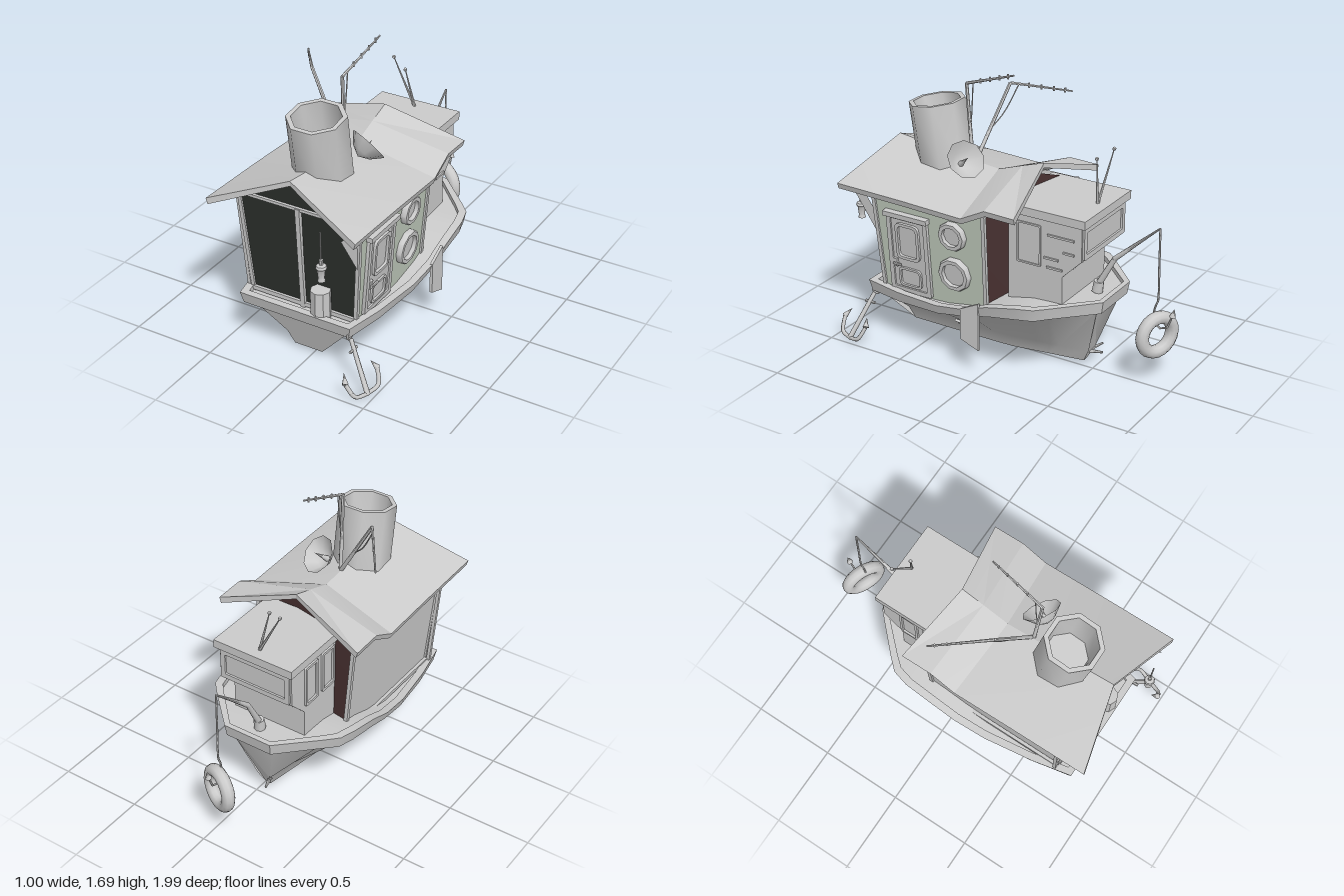
import * as THREE from 'three';
import { toCreasedNormals } from 'three/addons/utils/BufferGeometryUtils.js';

const mat = (color) => new THREE.MeshStandardMaterial({ color, side: THREE.DoubleSide });
const GREY = mat(0xcccccc), GREEN = mat(0xc1ccbd), DARK = mat(0x2c302c), RED = mat(0x4a3232);
const V = (p) => new THREE.Vector3(...p);
const profile = (pts) => pts.map((p) => new THREE.Vector2(...p));

function add(parent, name, geo, material = GREY, crease = 0.7) {
  const m = new THREE.Mesh(toCreasedNormals(geo, crease), material);
  m.name = name;
  parent.add(m);
  return m;
}

// Skin over a list of cross-sections with equal point counts
function loft(rings, { closed = true, caps = true, loop = false } = {}) {
  const n = rings[0].length, idx = [];
  const last = loop ? rings.length : rings.length - 1;
  for (let i = 0; i < last; i++) {
    for (let j = 0; j < (closed ? n : n - 1); j++) {
      const a = i * n + j, b = i * n + (j + 1) % n;
      const r = ((i + 1) % rings.length) * n, c = r + j, d = r + (j + 1) % n;
      idx.push(a, b, c, b, d, c);
    }
  }
  if (caps) for (const s of [0, (rings.length - 1) * n])
    for (let j = 1; j < n - 1; j++) idx.push(s, s + j, s + j + 1);
  return mesh(rings.flat(), idx);
}

function mesh(pts, idx) {
  const g = new THREE.BufferGeometry();
  g.setAttribute('position', new THREE.Float32BufferAttribute(pts.flat(), 3));
  g.setIndex(idx);
  g.computeVertexNormals();
  return g;
}

const poly = (pts) => mesh(pts, pts.slice(2).flatMap((_, i) => [0, i + 1, i + 2]));

// Straight bar between two points
function rod(parent, name, a, b, r = 0.008, r2 = r, sides = 6) {
  const A = V(a), d = V(b).sub(A);
  const m = add(parent, name, new THREE.CylinderGeometry(r2, r, d.length(), sides, 1, false, Math.PI / 4),
    GREY, sides > 4 ? 1.1 : 0.5);
  m.position.copy(A).addScaledVector(d, 0.5);
  m.quaternion.setFromUnitVectors(new THREE.Vector3(0, 1, 0), d.normalize());
}

const tube = (parent, name, pts, r, sides = 6) =>
  add(parent, name, new THREE.TubeGeometry(new THREE.CatmullRomCurve3(pts.map(V)), 16, r, sides), GREY, 1.2);

const box = (parent, name, size, pos) =>
  add(parent, name, new THREE.BoxGeometry(...size)).position.set(...pos);

// Rectangular frame with a hole, facing +z
function frameGeo(w, h, t, depth, r = 0.01) {
  const path = (P, w, h, r) => {
    const x = w / 2, y = h / 2;
    return P.moveTo(-x + r, -y).lineTo(x - r, -y).quadraticCurveTo(x, -y, x, -y + r).lineTo(x, y - r)
      .quadraticCurveTo(x, y, x - r, y).lineTo(-x + r, y).quadraticCurveTo(-x, y, -x, y - r)
      .lineTo(-x, -y + r).quadraticCurveTo(-x, -y, -x + r, -y);
  };
  const s = path(new THREE.Shape(), w, h, r);
  s.holes.push(path(new THREE.Path(), w - 2 * t, h - 2 * t, r * 0.7));
  return new THREE.ExtrudeGeometry(s, { depth, bevelEnabled: false, curveSegments: 3 });
}
function sideFrame(parent, name, z, y, w, h, t, x = 0, depth = 0.015, r = 0.01) {
  const m = add(parent, name, frameGeo(w, h, t, depth, r));
  m.rotation.y = Math.PI / 2;
  m.position.set(x, y, z);
}

function buildHull(g) {
  // z, half width, rim top, rim bottom
  const st = [[0.84, 0.355, 0.36, 0.29], [0.6, 0.405, 0.36, 0.295], [0.3, 0.45, 0.375, 0.32], [0.1, 0.465, 0.41, 0.36],
    [-0.05, 0.468, 0.465, 0.4], [-0.24, 0.463, 0.505, 0.43], [-0.34, 0.437, 0.51, 0.435],
    [-0.41, 0.373, 0.512, 0.44], [-0.624, 0.155, 0.515, 0.44]];
  const low = (z) => z * 0.925;
  add(g, 'hull', loft(st.map(([z, w, , y]) => {
    const W = w * 0.9, k = Math.min(1, (z + 0.624) / 0.6), zb = -0.43 + (z + 0.624) * 0.772;
    const b = 0.015 + 0.075 * k, m = 0.04 + 0.085 * k, zm = zb + (low(z) - zb) * 0.3;
    return [[W, y, low(z)], [m, 0.115, zm], [b, 0.03, zb], [-b, 0.03, zb], [-m, 0.115, zm], [-W, y, low(z)]];
  }), { closed: false }), GREY, 0.75);
  const section = ([z, w, t, b], s) => [[s * w, t, z], [s * w * 0.965, b, z * 0.98],
    [s * w * 0.885, b, z * 0.92], [s * w * 0.9, t - 0.035, z * 0.95], [s * w * 0.9, t, z * 0.95]];
  add(g, 'gunwale', loft([...st.map((p) => section(p, 1)), ...[...st].reverse().map((p) => section(p, -1))],
    { caps: false, loop: true }), GREY, 0.5);
  add(g, 'deck', loft(st.map(([z, w, t]) => [[w * 0.9, t - 0.03, z * 0.95], [-w * 0.9, t - 0.03, z * 0.95]]),
    { closed: false, caps: false }));
}

function buildCabin(g) {
  // the back wall is skewed: it reaches further forward on the right
  const f = [[-0.33, 0.33, 0.73], [0.33, 0.33, 0.73], [0.38, 0.97, 0.765], [0, 1.13, 0.765], [-0.38, 0.97, 0.765]];
  const b = [[-0.33, 0.33, -0.14], [0.33, 0.33, 0.03], [0.38, 0.97, 0.015], [0, 1.115, -0.06], [-0.38, 0.97, -0.14]];
  add(g, 'cabinFront', poly(f), DARK);
  add(g, 'cabinBack', poly(b), RED);
  add(g, 'cabinLeftWall', poly([f[1], b[1], b[2], f[2]]), GREEN);
  add(g, 'cabinRightWall', poly([f[0], b[0], b[4], f[4]]));
  // corner posts, sills and centre post
  for (const [lo, hi, p] of [[1, 2, f], [0, 4, f], [1, 2, b], [0, 4, b]])
    rod(g, 'cornerPost', p[lo], p[hi], 0.016, 0.016, 4);
  rod(g, 'centrePost', [0, 0.33, 0.735], [0, 0.97, 0.77], 0.02, 0.02, 4);
  rod(g, 'frontBeam', [-0.38, 0.965, 0.77], [0.38, 0.965, 0.77], 0.012, 0.012, 4);
  rod(g, 'frontSill', [-0.33, 0.35, 0.735], [0.33, 0.35, 0.735], 0.018, 0.018, 4);
  rod(g, 'sideSill', [-0.345, 0.36, 0.73], [-0.345, 0.36, -0.13], 0.014, 0.014, 4);
  rod(g, 'sidePost', [-0.36, 0.36, 0.73], [-0.4, 0.93, 0.75], 0.014, 0.014, 4);
  add(g, 'roofBracket', poly([[0.37, 0.97, 0.94], [0.37, 0.95, 0.85], [0.365, 0.79, 0.74], [0.36, 0.66, 0.74]]));

  // door and portholes, laid on the leaning wall
  const w = new THREE.Group();
  w.name = 'leftWallDetails';
  w.position.set(0.33, 0.33, 0);
  w.rotation.z = -0.078;
  g.add(w);
  sideFrame(w, 'doorFrame', 0.535, 0.27, 0.28, 0.5, 0.028, 0, 0.02);
  box(w, 'doorLeaf', [0.012, 0.46, 0.225], [0.004, 0.27, 0.535]);
  box(w, 'doorLintel', [0.045, 0.03, 0.3], [0.015, 0.52, 0.535]);
  sideFrame(w, 'doorWindow', 0.535, 0.355, 0.16, 0.23, 0.018, 0.008, 0.018, 0.035);
  sideFrame(w, 'doorPanel', 0.535, 0.12, 0.155, 0.125, 0.014, 0.008, 0.014, 0.03);
  box(w, 'doorLock', [0.02, 0.05, 0.025], [0.015, 0.205, 0.63]);
  rod(w, 'doorHandle', [0.035, 0.205, 0.635], [0.035, 0.205, 0.585]);
  for (const [y, r] of [[0.47, 0.09], [0.225, 0.105]]) {
    const port = add(w, 'porthole', new THREE.LatheGeometry(profile([[0, 0.008], [r - 0.03, 0.008],
      [r - 0.03, 0.033], [r - 0.008, 0.033], [r, 0.02], [r, 0]]), 10), GREY, 0.7);
    port.rotation.z = -Math.PI / 2;
    port.position.set(0, y, 0.225);
  }

  // sagging gable roof, one slab per slope: eave z, ridge z, eave y, ridge y
  const roof = [[0.955, 0.84, 0.99, 1.17], [0.5, 0.45, 0.98, 1.12], [0.11, 0.155, 0.965, 1.09],
    [-0.045, -0.005, 1.045, 1.145], [-0.235, -0.145, 1.04, 1.19]];
  for (const s of [-1, 1])
    add(g, 'roofSlope', loft(roof.map(([ze, zr, ye, yr]) => [[s * 0.465, ye, ze], [0, yr, zr],
      [0, yr - 0.03, zr], [s * 0.455, ye - 0.035, ze]])), GREY, 0.3);

  // hollow funnel, leaning towards the stern
  const prof = profile([[0.168, 0], [0.168, 0.38], [0.14, 0.38], [0.125, 0.12], [0, 0.12]]);
  const funnel = add(g, 'funnel', new THREE.LatheGeometry(prof, 8, Math.PI / 8), GREY, 0.9);
  funnel.position.set(0, 1.055, 0.515);
  funnel.rotation.x = 0.15;
}

function buildWheelhouse(g) {
  const side = [[-0.06, 0.42], [-0.06, 0.98], [-0.53, 0.98], [-0.53, 0.77], [-0.41, 0.65], [-0.41, 0.45]];
  add(g, 'wheelhouse', loft([-0.24, 0.24].map((x) => side.map(([z, y]) => [x, y, z]))), GREY, 0.3);
  box(g, 'wheelhouseRoof', [0.52, 0.05, 0.51], [0, 1.0, -0.305]);
  const win = add(g, 'wheelhouseWindow', frameGeo(0.46, 0.19, 0.03, 0.012));
  win.position.set(0, 0.87, -0.542);
  sideFrame(g, 'leftWindow', -0.195, 0.805, 0.155, 0.25, 0.01, 0.232);
  for (const z of [-0.19, -0.35]) sideFrame(g, 'rightWindow', z, 0.82, 0.12, 0.26, 0.016, -0.252);
  // small vents
  for (const [y, z, l] of [[0.885, -0.4, 0.17], [0.8, -0.45, 0.07], [0.745, -0.34, 0.09], [0.69, -0.36, 0.1]])
    box(g, 'vent', [0.016, 0.012, l], [0.242, y, z]);
  // ball-tipped whips
  for (const end of [[-0.15, 1.3, -0.505], [-0.045, 1.265, -0.455]]) {
    rod(g, 'whip', [0, 1.02, -0.49], end, 0.009, 0.003);
    add(g, 'whipBall', new THREE.SphereGeometry(0.011, 8, 6), GREY, 1.2).position.set(...end);
  }
  // fishing rod, line, hook and life ring
  rod(g, 'rodBase', [0, 0.49, -0.5], [0, 0.555, -0.51], 0.034, 0.03, 8);
  const pts = [[0, 0.53, -0.505], [0, 0.715, -0.605], [0, 0.835, -0.735], [0, 0.965, -0.88]];
  pts.slice(1).forEach((p, i) => rod(g, 'fishingRod', pts[i], p, 0.02 - i * 0.005, 0.015 - i * 0.005, 8));
  tube(g, 'fishingLine', [[0, 0.965, -0.88], [0, 0.75, -0.882], [0, 0.51, -0.88], [0, 0.47, -0.86],
    [0, 0.38, -0.87], [0, 0.365, -0.93], [0, 0.47, -0.978]], 0.006);
  rod(g, 'hookPoint', [0, 0.455, -0.974], [0, 0.505, -0.985], 0.02, 0);
  const ring = add(g, 'lifeRing', new THREE.TorusGeometry(0.105, 0.038, 10, 20), GREY, 1.2);
  ring.position.set(0, 0.32, -0.885);
  ring.rotation.y = -0.43;
}

function buildRoofGear(g) {
  // aerials: jointed mast, short pins on the boom, slack wires
  const aerials = [[[-0.02, 1.1, 0.32], [-0.01, 1.575, 0.35], [0.025, 1.69, 0.015]],
    [[-0.03, 1.1, 0.31], [-0.28, 1.52, 0.23], [-0.49, 1.46, -0.06]]];
  for (const [a, b, c] of aerials) {
    const A = V(a), B = V(b), C = V(c);
    rod(g, 'aerialMast', a, b, 0.012, 0.01);
    rod(g, 'aerialBoom', b, c, 0.009, 0.005);
    for (const t of [0.3, 0.5, 0.7, 0.88]) {
      const p = B.clone().lerp(C, t);
      rod(g, 'aerialPin', [p.x, p.y - 0.014, p.z], [p.x, p.y + 0.014, p.z], 0.006);
    }
    const e = B.clone().lerp(C, 0.14), s = A.clone().lerp(B, 0.4), mid = e.clone().lerp(s, 0.5);
    mid.y -= 0.03;
    tube(g, 'aerialWire', [e, mid, s].map((p) => p.toArray()), 0.004, 4);
  }
  // dish
  const dish = new THREE.Group();
  dish.name = 'dish';
  add(dish, 'dishBowl', new THREE.LatheGeometry(profile([[0, -0.09], [0.06, -0.06], [0.115, 0]]), 9), GREY, 0.9);
  rod(dish, 'dishSpike', [0, -0.08, 0], [0, 0.03, 0], 0.018, 0);
  dish.position.set(0.11, 1.17, 0.28);
  dish.quaternion.setFromUnitVectors(new THREE.Vector3(0, 1, 0), V([0.36, 0.62, -0.7]).normalize());
  g.add(dish);
}

function buildLooseParts(g) {
  // anchor
  rod(g, 'anchorShank', [0.31, 0.28, 0.81], [0.46, 0.025, 0.89], 0.012, 0.015);
  rod(g, 'anchorStock', [0.335, 0.225, 0.79], [0.335, 0.225, 0.86], 0.009);
  const eye = add(g, 'anchorEye', new THREE.TorusGeometry(0.022, 0.008, 6, 10), GREY, 1.1);
  eye.position.set(0.3, 0.295, 0.805);
  eye.rotation.y = Math.PI / 2;
  for (const [mid, end, tip] of [[[0.43, 0.035, 0.965], [0.38, 0.11, 0.985], [0.35, 0.155, 0.95]],
    [[0.485, 0.045, 0.815], [0.455, 0.12, 0.775], [0.42, 0.165, 0.79]]]) {
    tube(g, 'anchorArm', [[0.46, 0.02, 0.89], mid, end], 0.012);
    rod(g, 'anchorFluke', end, tip, 0.019, 0);
  }
  // hanging lantern
  rod(g, 'lanternCord', [0.22, 1.0, 0.955], [0.22, 0.81, 0.95], 0.004);
  add(g, 'lantern', new THREE.LatheGeometry(profile([[0, -0.11], [0.022, -0.11], [0.018, -0.09], [0.024, -0.04],
    [0.032, -0.03], [0.028, -0.015], [0.01, -0.01], [0.012, 0.02], [0, 0.025]]), 8), GREY, 0.8)
    .position.set(0.22, 0.81, 0.95);
  // barrel on the aft deck
  add(g, 'barrel', new THREE.CylinderGeometry(0.058, 0.058, 0.175, 8), GREY, 0.5).position.set(0.1, 0.418, 0.775);
  // board hung over the side
  add(g, 'sideBoard', loft([0.415, 0.432].map((x) =>
    [[x, 0.41, 0.12], [x, 0.47, 0], [x, 0.175, 0], [x, 0.22, 0.12]])), GREY, 0.3);
  // starfish on the hull, coral at the forefoot
  const star = new THREE.Shape(Array.from({ length: 10 }, (_, i) => {
    const r = i % 2 ? 0.014 : 0.045, a = i * Math.PI / 5;
    return new THREE.Vector2(r * Math.sin(a), r * Math.cos(a));
  }));
  const fish = add(g, 'starfish', new THREE.ExtrudeGeometry(star, { depth: 0.015, bevelEnabled: false }), GREY, 0.3);
  fish.position.set(0.17, 0.17, 0.28);
  fish.quaternion.setFromUnitVectors(new THREE.Vector3(0, 0, 1), V([0.65, -0.76, 0]).normalize());
  for (const e of [[-0.08, 0.17, -0.47], [-0.1, 0.13, -0.51], [-0.08, 0.08, -0.52]])
    rod(g, 'coralBranch', [-0.05, 0.08, -0.43], e, 0.014, 0.006);
}

export function createModel() {
  const model = new THREE.Group(), boat = new THREE.Group();
  model.name = 'houseboat';
  boat.name = 'boat';
  boat.position.x = -0.035;
  model.add(boat);
  buildHull(boat);
  buildCabin(boat);
  buildWheelhouse(boat);
  buildRoofGear(model);
  buildLooseParts(model);
  return model;
}
